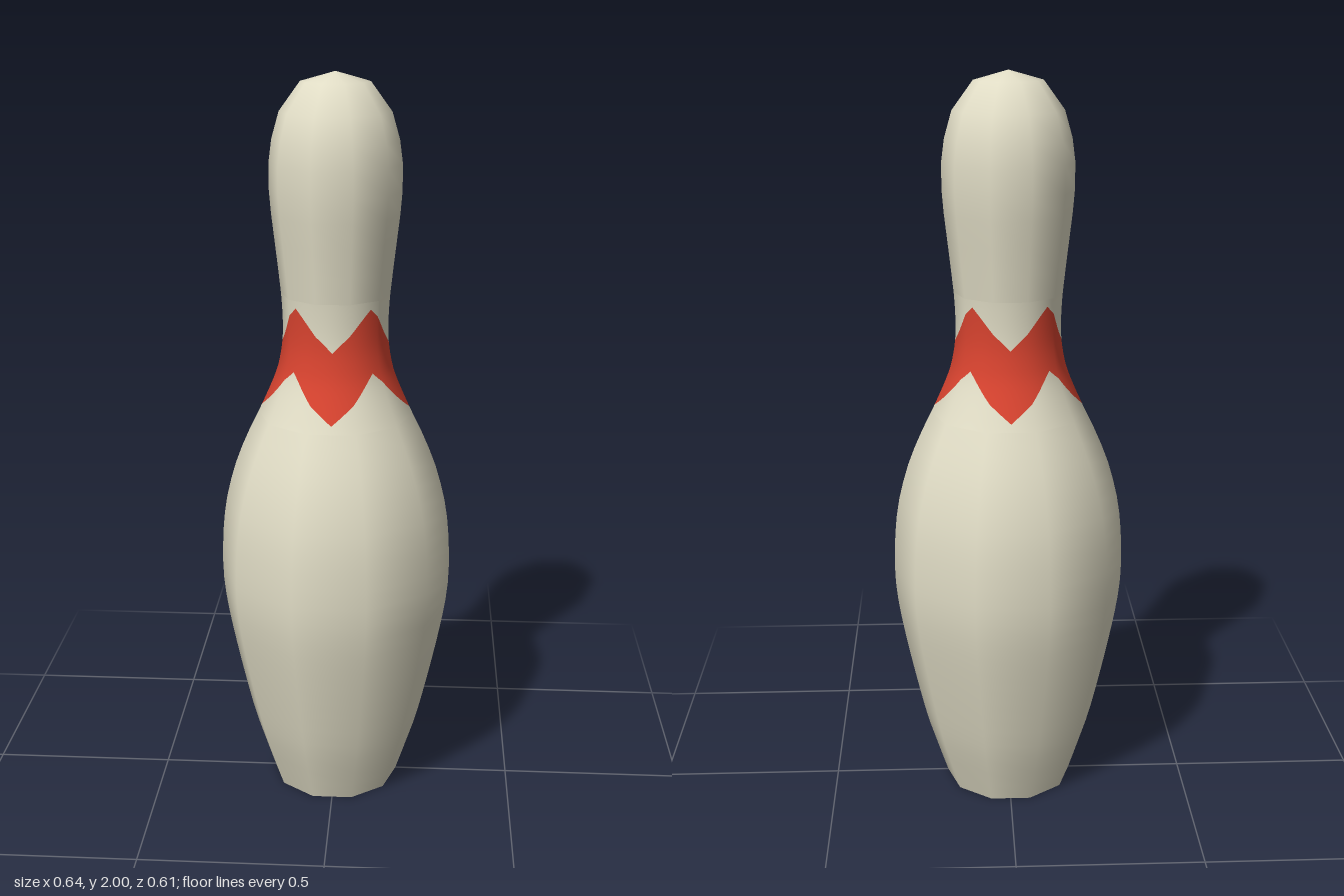
import * as THREE from 'three';

const SIDES = 10;
const STEP = (Math.PI * 2) / SIDES;

// Corner radius of the ten-sided pin against height
const samples = new THREE.SplineCurve([
  [0.177, 0], [0.21, 0.1], [0.24, 0.2], [0.285, 0.4], [0.313, 0.56], [0.318, 0.68],
  [0.307, 0.82], [0.278, 0.94], [0.243, 1.03], [0.2, 1.12], [0.165, 1.2], [0.15, 1.25],
  [0.141, 1.32], [0.144, 1.42], [0.158, 1.55], [0.172, 1.68], [0.173, 1.77],
  [0.165, 1.83], [0.145, 1.9], [0.09, 1.975], [0, 2],
].map(([r, y]) => new THREE.Vector2(r, y))).getPoints(200);

function radiusAt(y) {
  const i = samples.findIndex((p) => p.y >= y);
  if (i <= 0) return samples[0].x;
  const a = samples[i - 1], b = samples[i];
  return THREE.MathUtils.mapLinear(y, a.y, b.y, a.x, b.x);
}

// Smooth-shaded ten-sided section through the given heights
function section(heights) {
  const points = heights.map((y) => new THREE.Vector2(y >= 2 ? 0 : radiusAt(y), y));
  return new THREE.LatheGeometry(points, SIDES, Math.PI / 2);
}

// Zigzag edge: low on the x and z axes, high on the diagonals
const zigzag = (low, high) => (angle) => {
  const turn = (angle / (Math.PI / 2)) % 1;
  return low + (high - low) * (1 - Math.abs(2 * turn - 1));
};

// Strip of the pin's surface between two edges that vary around it
function strip(lower, upper, rows = 10, columns = 120) {
  const position = [], normal = [], index = [];
  for (let j = 0; j <= rows; j++) {
    for (let i = 0; i <= columns; i++) {
      const angle = (i / columns) * Math.PI * 2;
      const y = THREE.MathUtils.lerp(lower(angle), upper(angle), j / rows);
      const offset = ((i * SIDES) % columns) / columns * STEP - STEP / 2;
      const r = radiusAt(y) * Math.cos(STEP / 2) / Math.cos(offset);
      const slope = (radiusAt(y + 0.02) - radiusAt(y - 0.02)) / 0.04;
      const n = new THREE.Vector3(Math.cos(angle), -slope, Math.sin(angle)).normalize();
      position.push(r * Math.cos(angle), y, r * Math.sin(angle));
      normal.push(n.x, n.y, n.z);
      if (j < rows && i < columns) {
        const a = j * (columns + 1) + i, c = a + columns + 1;
        index.push(a, c, a + 1, c, c + 1, a + 1);
      }
    }
  }
  const geometry = new THREE.BufferGeometry();
  geometry.setAttribute('position', new THREE.Float32BufferAttribute(position, 3));
  geometry.setAttribute('normal', new THREE.Float32BufferAttribute(normal, 3));
  geometry.setIndex(index);
  return geometry;
}

export function createModel() {
  const cream = new THREE.MeshStandardMaterial({ color: 0xe0dcc5 });
  cream.name = 'cream';
  const red = new THREE.MeshStandardMaterial({ color: 0xd8432f });
  red.name = 'red';

  const model = new THREE.Group();
  model.name = 'bowlingPin';
  const add = (name, geometry, material) => {
    const mesh = new THREE.Mesh(geometry, material);
    mesh.name = name;
    model.add(mesh);
    return mesh;
  };

  // Belly and rounded head
  const belly = Array.from({ length: 23 }, (_, i) => i * 0.05);
  add('belly', section(belly), cream);
  add('head', section([1.43, 1.5, 1.57, 1.64, 1.7, 1.77, 1.83, 1.9, 1.975, 2]), cream);

  // Neck, split along the zigzag edges of the painted collar
  const bottomEdge = zigzag(1.12, 1.24);
  const topEdge = zigzag(1.3, 1.41);
  add('shoulder', strip(() => 1.1, bottomEdge), cream);
  add('collar', strip(bottomEdge, topEdge), red);
  add('neck', strip(topEdge, () => 1.43), cream);

  // Flat underside
  add('base', new THREE.CircleGeometry(radiusAt(0), SIDES), cream).rotation.x = Math.PI / 2;

  return model;
}
